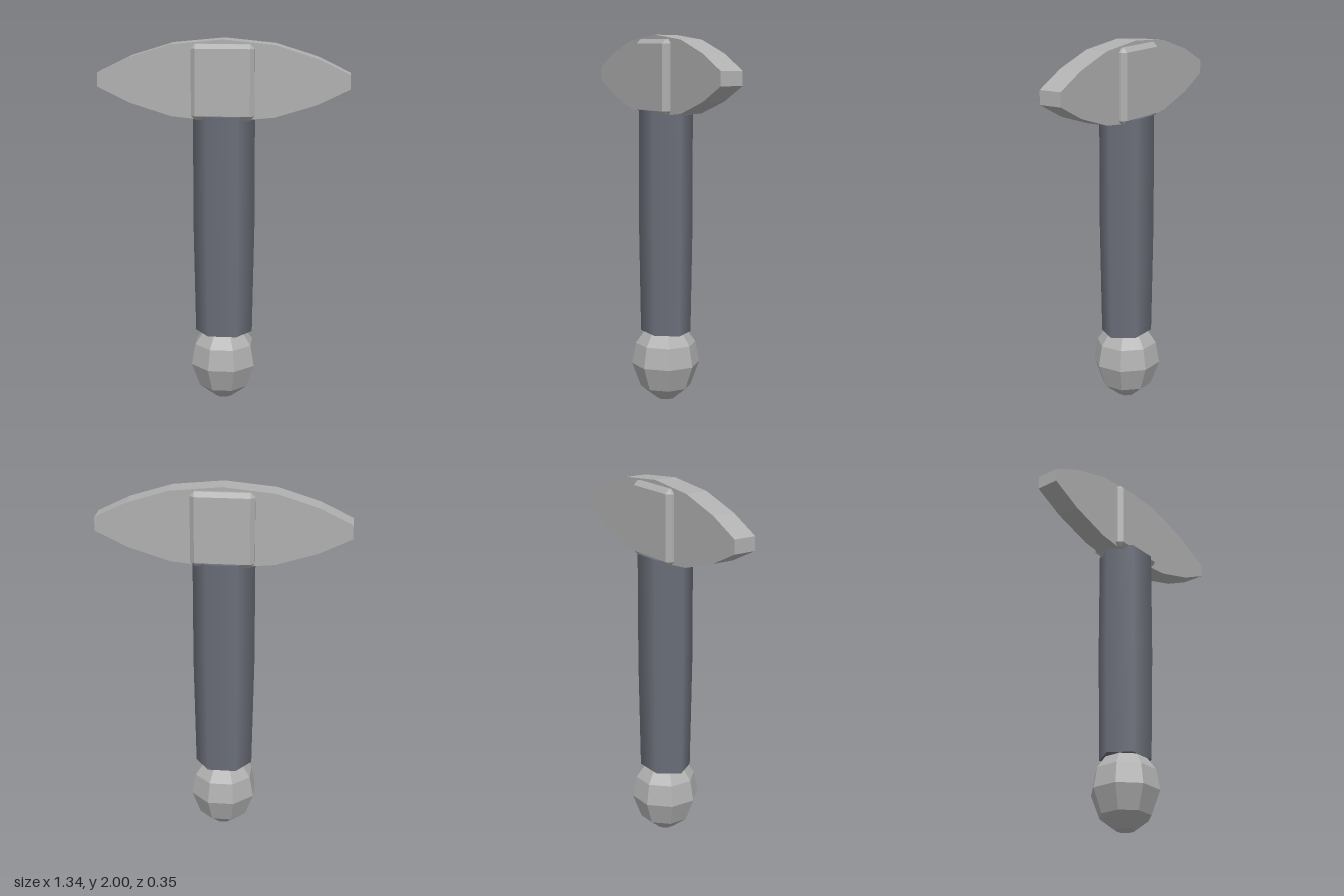
import * as THREE from 'three';
import { ConvexGeometry } from 'three/addons/geometries/ConvexGeometry.js';

const steel = new THREE.MeshStandardMaterial({ color: 0xb0b0b0 });
steel.name = 'steel grey';
const grip = new THREE.MeshStandardMaterial({ color: 0x6c707a });
grip.name = 'slate grip';

// Box with every edge cut at 45 degrees
function chamferedBox(hx, hy, hz, c) {
  const points = [];
  for (const sx of [-1, 1]) for (const sy of [-1, 1]) for (const sz of [-1, 1]) {
    points.push(
      new THREE.Vector3(sx * hx, sy * (hy - c), sz * (hz - c)),
      new THREE.Vector3(sx * (hx - c), sy * hy, sz * (hz - c)),
      new THREE.Vector3(sx * (hx - c), sy * (hy - c), sz * hz));
  }
  return new ConvexGeometry(points);
}

export function createModel() {
  const model = new THREE.Group();
  model.name = 'hammer';
  const add = (name, geometry, material, y = 0) => {
    const mesh = new THREE.Mesh(geometry, material);
    mesh.name = name;
    mesh.position.y = y;
    model.add(mesh);
    return mesh;
  };

  // Head: a tapered, faceted bar with blunt ends, mirrored about both axes
  const quarter = [[0.67, 0.037], [0.5, 0.12], [0.275, 0.19], [0, 0.217]];
  const upper = [...quarter, ...quarter.slice(0, -1).reverse().map(([x, y]) => [-x, y])];
  const lower = upper.map(([x, y]) => [-x, -y]);
  const outline = new THREE.Shape([...upper, ...lower].map(([x, y]) => new THREE.Vector2(x, y)));
  const headGeometry = new THREE.ExtrudeGeometry(outline, { depth: 0.126, bevelEnabled: false });
  headGeometry.translate(0, 0, -0.063);
  add('head', headGeometry, steel, 1.783);

  // Collar: chamfered block wrapped around the head
  add('collar', chamferedBox(0.168, 0.2, 0.1, 0.023), steel, 1.777);

  // Handle: flattened six-sided grip, tapering below the middle
  const handleGeometry = new THREE.CylinderGeometry(0.166, 0.156, 1.22, 6, 2, false, Math.PI / 2);
  const p = handleGeometry.attributes.position;
  for (let i = 0; i < p.count; i++) {
    const swell = Math.abs(p.getY(i)) < 0.01 ? 1.037 : 1;
    p.setXYZ(i, p.getX(i) * swell, p.getY(i), p.getZ(i) * swell * 0.84);
  }
  handleGeometry.computeBoundingSphere();
  add('handle', handleGeometry, grip, 0.99);

  // Pommel: eight-sided faceted knob, closed at both ends
  const profile = [[0, 0], [0.05, 0], [0.139, 0.07], [0.187, 0.2], [0.166, 0.315], [0.119, 0.38], [0, 0.38]]
    .map(([r, y]) => new THREE.Vector2(r, y));
  const pommelGeometry = new THREE.LatheGeometry(profile, 8, Math.PI / 8).toNonIndexed();
  pommelGeometry.computeVertexNormals();
  add('pommel', pommelGeometry, steel);

  return model;
}
